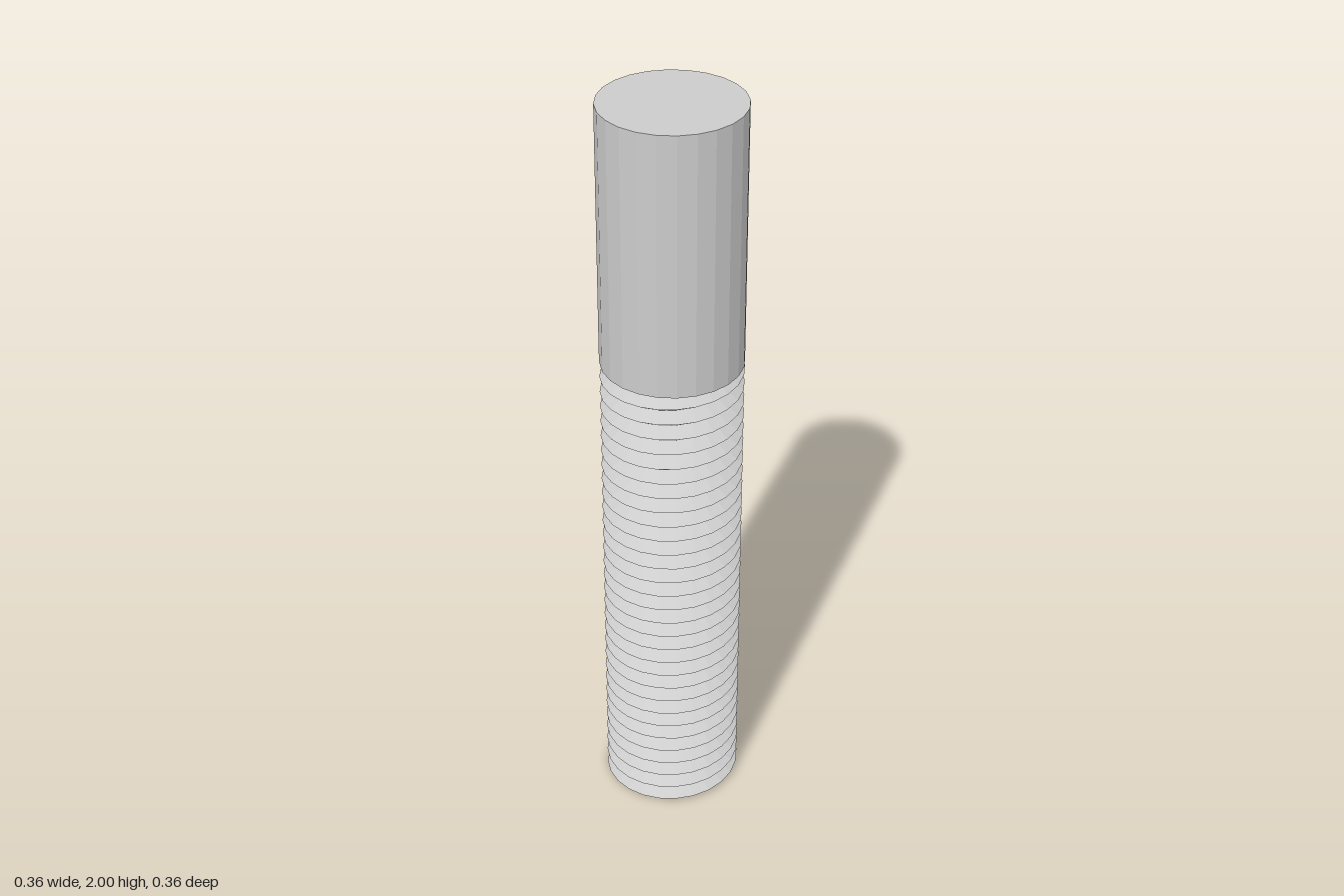
import * as THREE from 'three';

const SIDES = 24, MAJOR = 0.181, ROOT = 0.149;
const HEIGHT = 2, THREAD_TOP = 1.31, TURNS = 30;
const PITCH = THREAD_TOP / TURNS;

// V-thread radius at column j and height y: crest on the helix, root halfway between
function threadRadius(j, y) {
  const f = y / PITCH - j / SIDES;
  const offCrest = Math.abs(f - Math.round(f)) * 2;
  return MAJOR + (ROOT - MAJOR) * offCrest;
}

// Right-handed helical ridge, trimmed flat at both ends, with a bottom cap
function threadGeometry() {
  const positions = [], index = [];
  const first = -3, rows = TURNS * 2 + 6;
  for (let j = 0; j <= SIDES; j++) {
    const a = -Math.PI / 2 + (j / SIDES) * Math.PI * 2;
    for (let k = 0; k < rows; k++) {
      const y = THREE.MathUtils.clamp(PITCH * ((first + k) / 2 + j / SIDES), 0, THREAD_TOP);
      const r = threadRadius(j, y);
      positions.push(Math.sin(a) * r, y, Math.cos(a) * r);
    }
  }
  const center = positions.length / 3;
  positions.push(0, 0, 0);
  const y = (i) => positions[i * 3 + 1];
  for (let j = 0; j < SIDES; j++) {
    for (let k = 0; k < rows - 1; k++) {
      const a = j * rows + k, b = a + rows, c = b + 1, d = a + 1;
      if (y(b) !== y(c)) index.push(a, b, c);
      if (y(a) !== y(d)) index.push(a, c, d);
    }
    index.push(center, (j + 1) * rows, j * rows);
  }
  const geometry = new THREE.BufferGeometry();
  geometry.setAttribute('position', new THREE.Float32BufferAttribute(positions, 3));
  geometry.setIndex(index);
  const flat = geometry.toNonIndexed();
  flat.computeVertexNormals();
  return flat;
}

export function createModel() {
  const group = new THREE.Group();
  group.name = 'threadedStud';
  const material = new THREE.MeshStandardMaterial({ color: 0xcccccc, flatShading: true });

  // Plain upper shank
  const length = HEIGHT - THREAD_TOP;
  const shank = new THREE.Mesh(new THREE.CylinderGeometry(MAJOR, MAJOR, length, SIDES), material);
  shank.name = 'shank';
  shank.position.y = THREAD_TOP + length / 2;

  // Threaded lower part
  const thread = new THREE.Mesh(threadGeometry(), material);
  thread.name = 'thread';

  group.add(shank, thread);
  return group;
}
